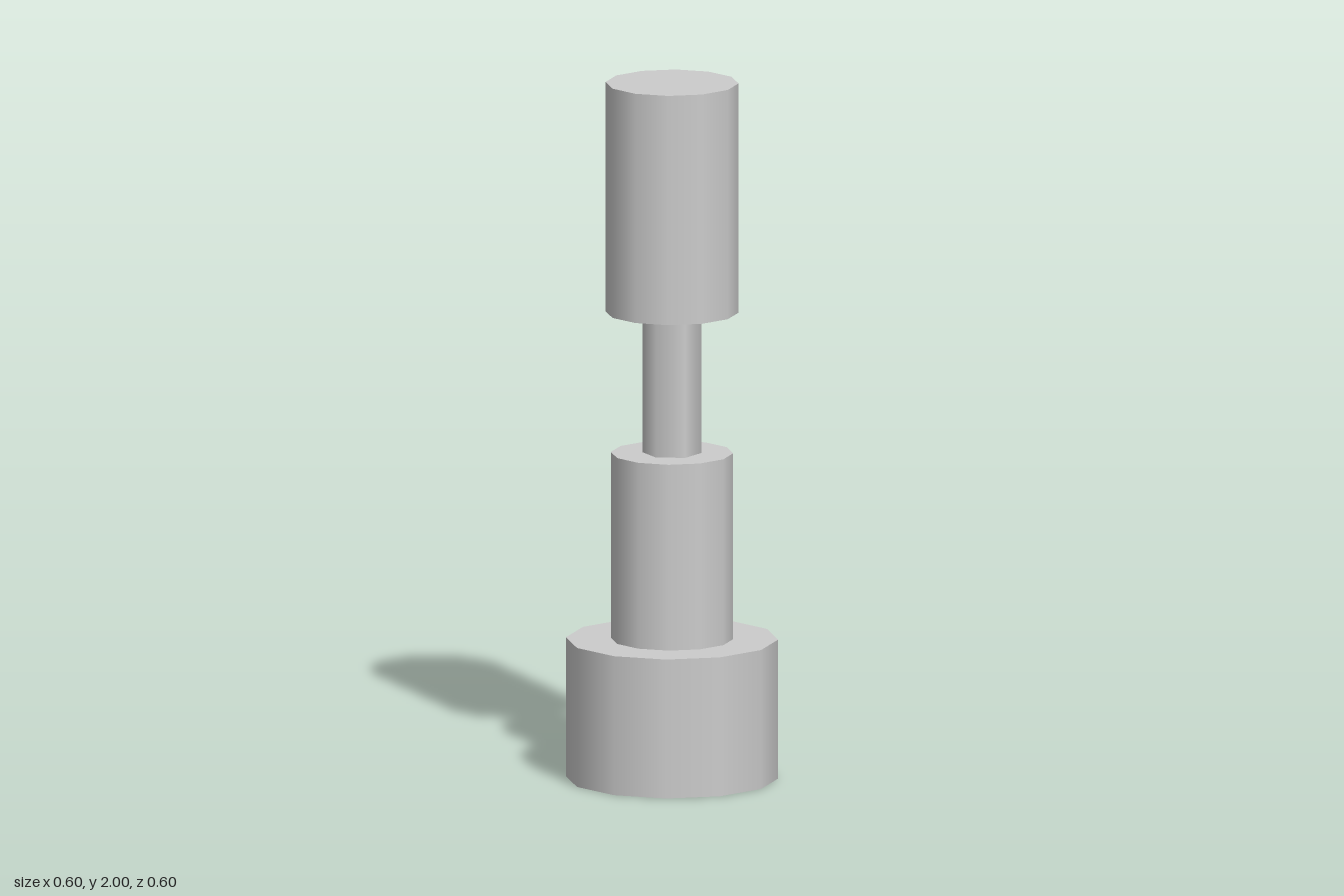
import * as THREE from 'three';

const material = new THREE.MeshStandardMaterial({ color: 0xcccccc, side: THREE.DoubleSide });

// Upright prism with smooth-shaded walls and optional end caps
function section(name, radius, y0, y1, sides, { top = false, bottom = false } = {}) {
  const group = new THREE.Group();
  group.name = name;

  const wall = new THREE.Mesh(
    new THREE.CylinderGeometry(radius, radius, y1 - y0, sides, 1, true), material);
  wall.name = name + 'Wall';
  wall.position.y = (y0 + y1) / 2;
  group.add(wall);

  const addCap = (label, y, tilt) => {
    const cap = new THREE.Mesh(new THREE.CircleGeometry(radius, sides, Math.PI / 2), material);
    cap.name = name + label;
    cap.rotation.x = tilt;
    cap.position.y = y;
    group.add(cap);
  };
  if (top) addCap('Top', y1, -Math.PI / 2);
  if (bottom) addCap('Underside', y0, Math.PI / 2);
  return group;
}

export function createModel() {
  const model = new THREE.Group();
  model.name = 'steppedColumn';
  model.add(
    // Hollow base, open underneath
    section('base', 0.3, 0, 0.4, 12, { top: true }),
    // Lower body standing on the base
    section('lowerBody', 0.173, 0.4, 0.935, 12, { top: true }),
    // Thin hexagonal stem
    section('stem', 0.083, 0.935, 1.34, 6),
    // Closed upper body
    section('upperBody', 0.188, 1.34, 2, 12, { top: true, bottom: true }),
  );
  return model;
}
